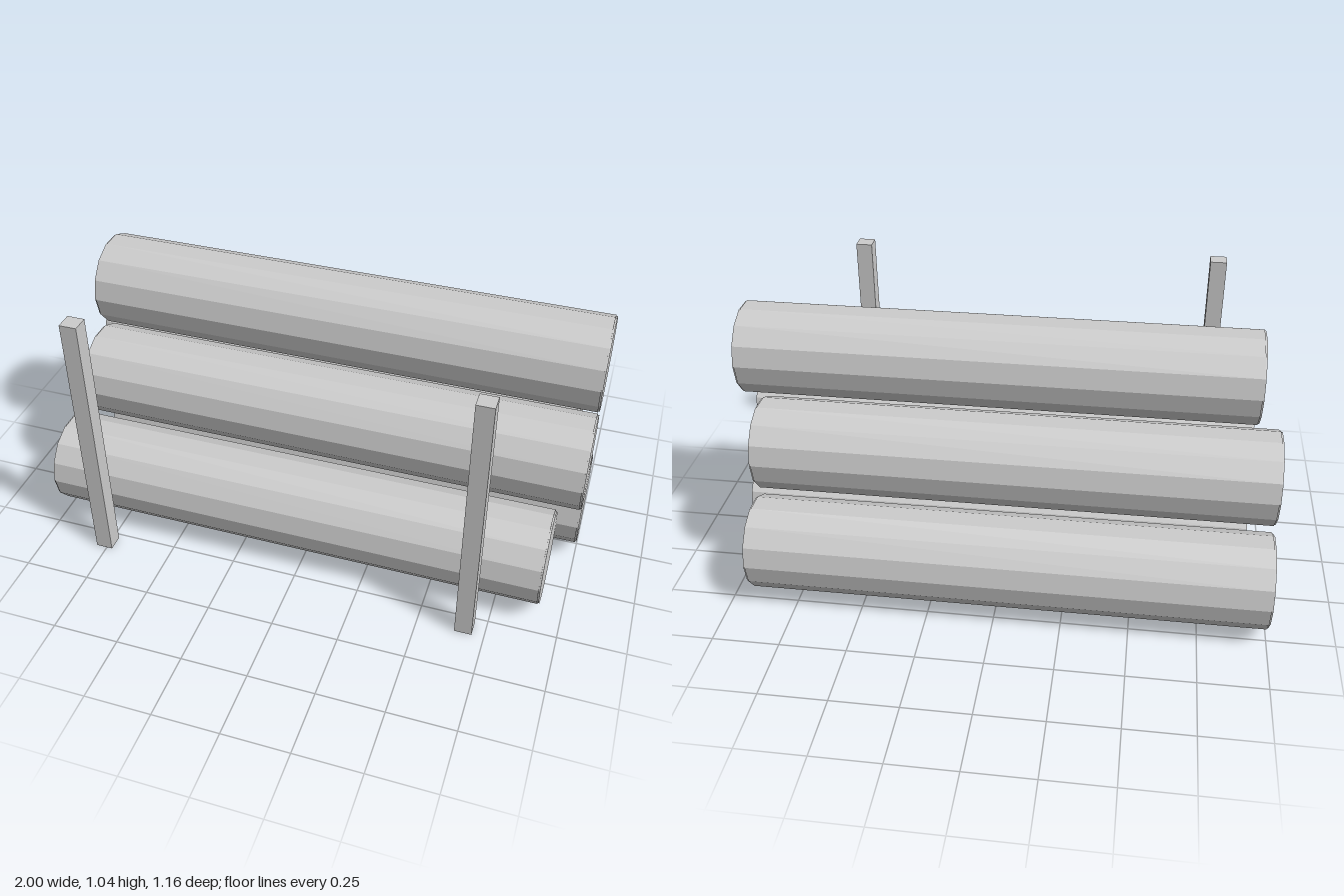
import * as THREE from 'three';

export function createModel() {
  const group = new THREE.Group();
  const grey = new THREE.MeshStandardMaterial({ color: 0xcccccc, flatShading: true });
  grey.name = 'lightGrey';

  const radius = 0.175, length = 1.917, capDepth = 0.006, sides = 14;
  const logGeo = new THREE.CylinderGeometry(radius, radius, length - 2 * capDepth, sides).rotateZ(Math.PI / 2);
  const capGeo = new THREE.CylinderGeometry(radius - 0.004, radius - 0.004, capDepth, sides).rotateZ(Math.PI / 2);

  const add = (parent, name, geometry, x, y, z) => {
    const mesh = new THREE.Mesh(geometry, grey);
    mesh.name = name;
    mesh.position.set(x, y, z);
    parent.add(mesh);
  };

  // Stacked logs: [y, z, direction of the lengthwise shift]
  const stack = [
    [0.202, 0.313, -1], [0.202, -0.046, 1], [0.202, -0.405, -1],
    [0.528, 0.129, 1], [0.528, -0.221, -1],
    [0.84, -0.046, 1],
  ];
  for (const [y, z, shift] of stack) {
    const log = new THREE.Group();
    log.name = 'log';
    log.position.set(shift * (1 - length / 2), y, z);
    add(log, 'logBody', logGeo, 0, 0, 0);
    // Thin sawn discs on both ends
    for (const side of [-1, 1]) add(log, 'logEnd', capGeo, side * (length - capDepth) / 2, 0, 0);
    group.add(log);
  }

  // Two upright stakes in front of the pile
  const postGeo = new THREE.BoxGeometry(0.064, 1.037, 0.062);
  for (const x of [-0.76, 0.673]) add(group, 'post', postGeo, x, 0.5185, 0.55);

  return group;
}
